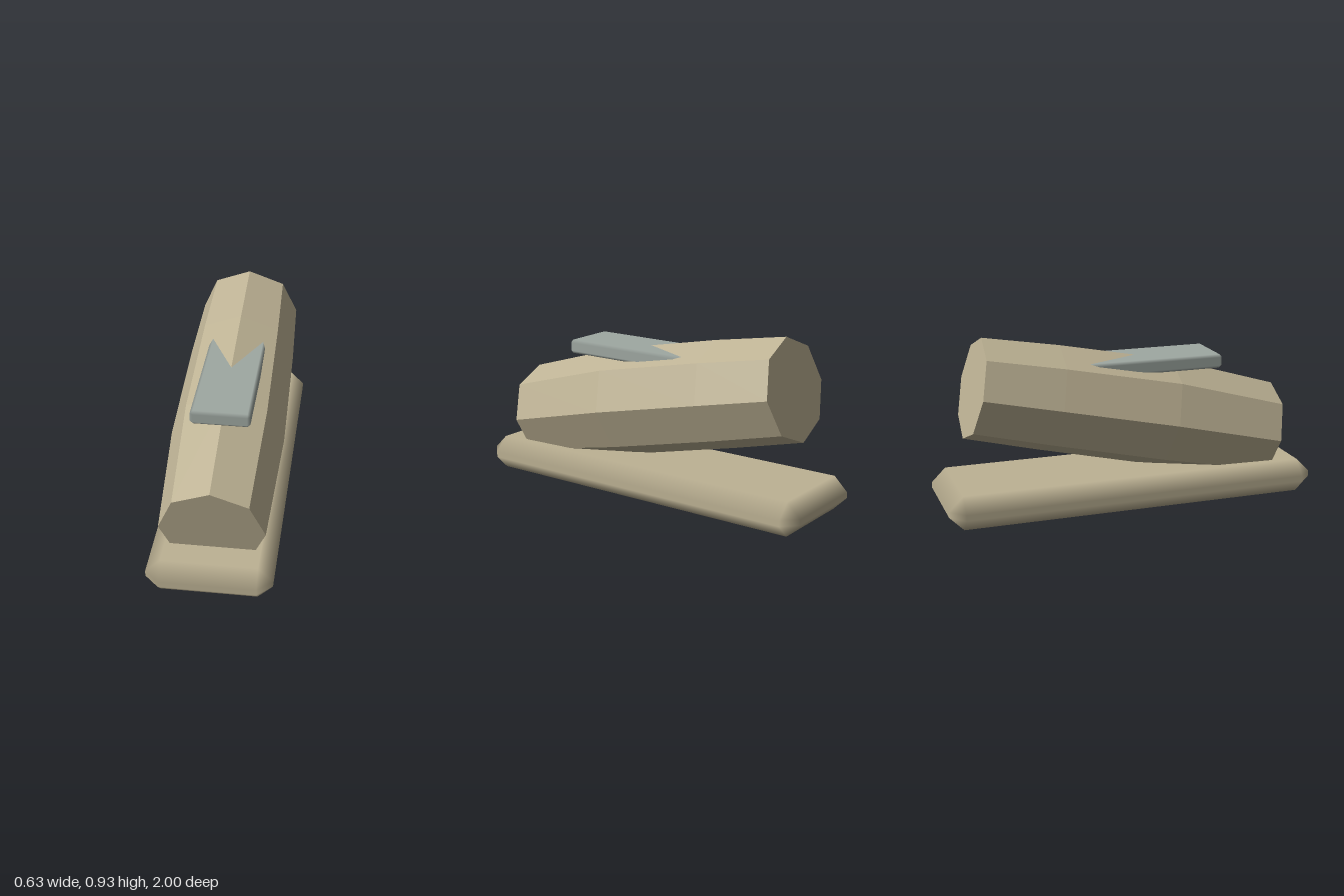
import * as THREE from 'three';

const tan = new THREE.MeshStandardMaterial({ name: 'sandTan', color: 0xbdb294 });
const grey = new THREE.MeshStandardMaterial({ name: 'paleGrey', color: 0x9fa8a2 });
const hull = tan.clone();
hull.name = 'sandTanFaceted';
hull.flatShading = true;

// Box with one soft chamfer on every edge: each box face becomes an inset face,
// a strip or a corner, and normals follow the six main directions.
function chamferBox(w, h, d, r) {
  const half = [w / 2, h / 2, d / 2];
  const corner = (s, axis) => ({
    p: half.map((v, i) => s[i] * (i === axis ? v : v - r)),
    n: s.map((v, i) => (i === axis ? v : 0)),
  });
  const pos = [], nor = [];
  const tri = (a, b, c, out) => {
    const [A, B, C] = [a, b, c].map((v) => new THREE.Vector3(...v.p));
    const n = B.clone().sub(A).cross(C.clone().sub(A));
    for (const v of n.dot(out) > 0 ? [a, b, c] : [a, c, b]) {
      pos.push(...v.p);
      nor.push(...v.n);
    }
  };
  const quad = (a, b, c, d2, out) => { tri(a, b, c, out); tri(a, c, d2, out); };
  const sign = (i, j, k, si, sj, sk) => {
    const s = [0, 0, 0];
    s[i] = si; s[j] = sj; s[k] = sk;
    return s;
  };
  for (let i = 0; i < 3; i++) {
    const j = (i + 1) % 3, k = (i + 2) % 3;
    for (const si of [-1, 1]) {
      // flat face
      const f = [[-1, -1], [1, -1], [1, 1], [-1, 1]].map(([a, b]) => corner(sign(i, j, k, si, a, b), i));
      quad(...f, new THREE.Vector3(...f[0].n));
      // edge strips between faces i and j
      for (const sj of [-1, 1]) {
        const lo = sign(i, j, k, si, sj, -1), hi = sign(i, j, k, si, sj, 1);
        quad(corner(lo, i), corner(hi, i), corner(hi, j), corner(lo, j),
          new THREE.Vector3(...sign(i, j, k, si, sj, 0)));
      }
    }
  }
  // corner triangles
  for (const x of [-1, 1]) for (const y of [-1, 1]) for (const z of [-1, 1]) {
    const s = [x, y, z];
    tri(corner(s, 0), corner(s, 1), corner(s, 2), new THREE.Vector3(...s));
  }
  const g = new THREE.BufferGeometry();
  g.setAttribute('position', new THREE.Float32BufferAttribute(pos, 3));
  g.setAttribute('normal', new THREE.Float32BufferAttribute(nor, 3));
  return g;
}

// Tilted eight-sided barrel lofted through rings of [z, y, radius], back to front
function barrel(rings, tilt, sides = 8) {
  const pos = [], index = [];
  for (const [z, y, r] of rings) {
    for (let i = 0; i < sides; i++) {
      const a = (i / sides) * Math.PI * 2;
      const up = Math.cos(a) * r;
      pos.push(Math.sin(a) * r, y + up * Math.cos(tilt), z + up * Math.sin(tilt));
    }
  }
  const last = (rings.length - 1) * sides;
  for (let k = 0; k < last; k += sides) {
    for (let i = 0; i < sides; i++) {
      const a = k + i, b = k + ((i + 1) % sides);
      index.push(a, a + sides, b, b, a + sides, b + sides);
    }
  }
  // end caps
  for (let i = 1; i < sides - 1; i++) {
    index.push(0, i, i + 1, last, last + i + 1, last + i);
  }
  const g = new THREE.BufferGeometry();
  g.setAttribute('position', new THREE.Float32BufferAttribute(pos, 3));
  g.setIndex(index);
  const flat = g.toNonIndexed();
  flat.computeVertexNormals();
  return flat;
}

export function createModel() {
  const group = new THREE.Group();
  const add = (name, geometry, material, x, y, z) => {
    const mesh = new THREE.Mesh(geometry, material);
    mesh.name = name;
    mesh.position.set(x, y, z);
    group.add(mesh);
  };

  // flat slab that everything stands on
  add('base', chamferBox(0.63, 0.18, 2, 0.075), tan, 0, 0.09, 0);

  // inclined barrel, widest in the middle, sunk into the base at the front
  const rings = [
    [-0.813, 0.668, 0.267],
    [-0.406, 0.583, 0.284],
    [0.214, 0.449, 0.295],
    [0.815, 0.3, 0.265],
  ];
  add('body', barrel(rings, 0.215), hull, 0, 0, 0);

  // level plate that runs back into the barrel
  add('topPlate', chamferBox(0.3, 0.074, 1.02, 0.015), grey, 0, 0.742, 0);

  return group;
}
